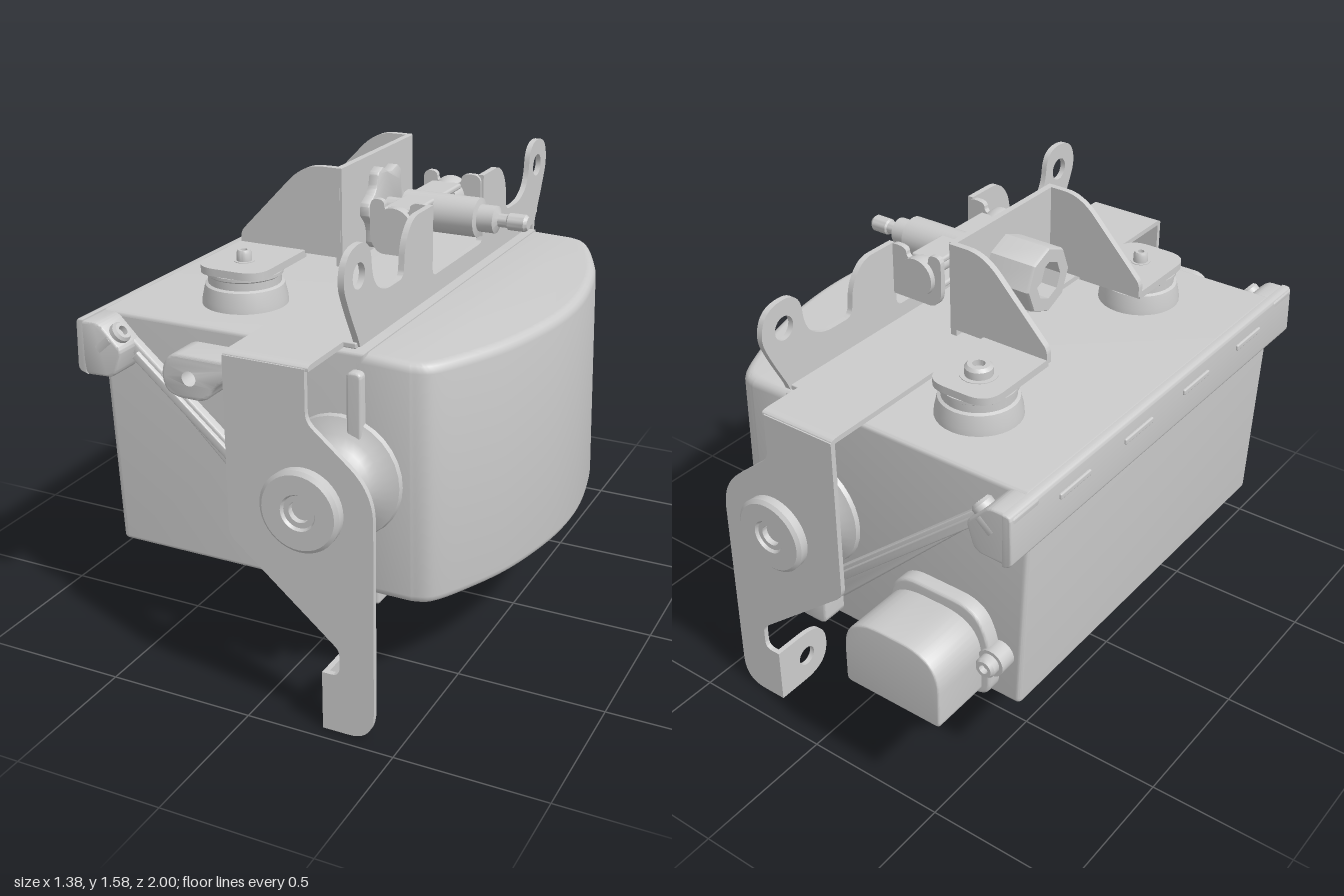
import * as THREE from 'three';
import { toCreasedNormals } from 'three/addons/utils/BufferGeometryUtils.js';
import { RoundedBoxGeometry } from 'three/addons/geometries/RoundedBoxGeometry.js';

const grey = new THREE.MeshStandardMaterial({ color: 0xcccccc, side: THREE.DoubleSide });
const MID = -0.015; // middle of the housing along z

// Closed outline from [u, v, cornerRadius] points, with round holes [u, v, r]
function outline(pts, holes = []) {
  const s = new THREE.Shape(), n = pts.length;
  pts.forEach(([x, y, r = 0], i) => {
    const p = new THREE.Vector2(x, y);
    const toward = (q) => {
      const d = new THREE.Vector2(q[0] - x, q[1] - y);
      return p.clone().addScaledVector(d.clone().normalize(), Math.min(r, d.length() * 0.499));
    };
    const a = toward(pts[(i + n - 1) % n]), b = toward(pts[(i + 1) % n]);
    if (i === 0) s.moveTo(a.x, a.y); else s.lineTo(a.x, a.y);
    if (r) s.quadraticCurveTo(x, y, b.x, b.y);
  });
  s.closePath();
  for (const [x, y, r] of holes) s.holes.push(new THREE.Path().absarc(x, y, r, 0, Math.PI * 2, true));
  return s;
}

// Extrude an outline between two coordinates on the chosen axis
function slab(shape, axis, from, to, bevel = 0) {
  const g = new THREE.ExtrudeGeometry(shape, {
    depth: to - from - 2 * bevel, curveSegments: 10, bevelEnabled: bevel > 0,
    bevelThickness: bevel, bevelSize: bevel, bevelOffset: -bevel, bevelSegments: 4,
  });
  g.translate(0, 0, bevel);
  if (axis === 'z') g.translate(0, 0, from);
  if (axis === 'x') g.rotateY(-Math.PI / 2).translate(to, 0, 0); // outline is (z, y)
  if (axis === 'y') g.rotateX(Math.PI / 2).translate(0, to, 0); // outline is (x, z)
  return toCreasedNormals(g, 0.6);
}

// Turned part: [radius, distance] profile revolved around a direction
function turned(profile, pos, dir, sides = 32) {
  const g = new THREE.LatheGeometry(profile.map(([r, h]) => new THREE.Vector2(r, h)), sides);
  const q = new THREE.Quaternion().setFromUnitVectors(new THREE.Vector3(0, 1, 0), new THREE.Vector3(...dir).normalize());
  return toCreasedNormals(g.toNonIndexed().applyQuaternion(q).translate(...pos), 0.6);
}

function box(x0, x1, y0, y1, z0, z1, r = 0.01) {
  return new RoundedBoxGeometry(x1 - x0, y1 - y0, z1 - z0, 3, r)
    .translate((x0 + x1) / 2, (y0 + y1) / 2, (z0 + z1) / 2);
}

export function createModel() {
  const model = new THREE.Group();
  const add = (name, geometry, parent = model) => {
    const m = new THREE.Mesh(geometry, grey);
    m.name = name;
    parent.add(m);
    return m;
  };
  const screw = (name, pos, dir, r = 0.035) => add(name, turned(
    [[0, -0.06], [r * 1.35, -0.06], [r * 1.35, 0], [r, 0], [r, 0.025], [r * 0.8, 0.035], [r * 0.45, 0.035], [r * 0.45, 0.015], [0, 0.015]], pos, dir, 18));

  // Housing with slightly tapered rear
  add('housing', slab(outline([[-0.64, 0.34, 0.02], [0.27, 0.34], [0.27, 1.155], [-0.67, 1.155, 0.02], [-0.665, 0.97]]), 'z', -0.74, 0.71, 0.015));
  add('rearLip', slab(outline([[-0.69, 0.98, 0.02], [-0.655, 0.97], [-0.655, 1.155], [-0.685, 1.155, 0.02]]), 'z', -0.86, 0.82, 0.006));
  for (let i = 0; i < 4; i++) add('rearLipRib', box(-0.694, -0.68, 1.08, 1.1, -0.62 + i * 0.35, -0.46 + i * 0.35, 0.005));

  // Bowed front cover, leaning back a little toward the top
  const bow = new THREE.Shape();
  bow.moveTo(0.24, -0.74);
  bow.lineTo(0.42, -0.74);
  bow.splineThru([[0.485, -0.71], [0.55, -0.6], [0.625, -0.42], [0.675, -0.2], [0.69, MID],
    [0.675, 0.17], [0.625, 0.39], [0.55, 0.57], [0.485, 0.68], [0.42, 0.71]].map((p) => new THREE.Vector2(...p)));
  bow.lineTo(0.24, 0.71);
  const cover = slab(bow, 'y', 0.35, 1.152, 0.03);
  const cp = cover.attributes.position;
  for (let i = 0; i < cp.count; i++) {
    const k = (cp.getX(i) - 0.24) / 0.45;
    if (cp.getY(i) > 0.97) cp.setX(i, cp.getX(i) - k * 0.14 * (cp.getY(i) - 0.97));
    if (cp.getY(i) > 1) cp.setY(i, cp.getY(i) - k * 0.015);
  }
  add('frontCover', cover);
  add('seamRib', box(0.25, 0.3, 0.3, 0.37, -0.71, 0.68, 0.012));
  add('bottomCap', turned([[0, 0], [0.1, 0], [0.1, 0.012], [0.125, 0.012], [0.125, 0], [0.145, 0], [0.155, 0.01], [0.155, 0.08]].map(([r, h]) => [r, h]), [-0.285, 0.27, MID], [0, 1, 0], 40));

  // Flange, lugs, screws and pivot on both sides
  for (const s of [1, -1]) {
    const wall = s > 0 ? 0.71 : -0.74;
    const out = (d) => wall + s * d;
    const side = (name, shape, d, bevel = 0.008) => {
      const [a, b] = [out(-0.02), out(d)].sort((p, q) => p - q);
      return add(name, slab(shape, 'z', a, b, bevel));
    };
    side('diagonalFlange', outline([[-0.58, 1.08], [-0.53, 1.08], [0.12, 0.52], [0.12, 0.43], [0.05, 0.455]]), 0.03);
    side('diagonalRib', outline([[-0.53, 1.025], [-0.51, 1.045], [0.1, 0.52], [0.08, 0.5]]), 0.045, 0.004);
    side('cornerLug', outline([[-0.69, 1.15, 0.02], [-0.6, 1.15, 0.02], [-0.52, 1.07, 0.02], [-0.55, 0.975, 0.03], [-0.66, 0.97, 0.02]]), 0.11);
    side('lowerLug', outline([[0.08, 0.36, 0.03], [0.2, 0.36, 0.04], [0.23, 0.5, 0.02], [0.13, 0.56, 0.02], [0.08, 0.5, 0.02]]), 0.09);
    side('verticalFlange', outline([[0.22, 0.36, 0.02], [0.27, 0.36, 0.02], [0.27, 1.1, 0.02], [0.22, 1.1, 0.02]]), 0.03);
    screw('cornerScrew', [-0.565, 1.1, out(0.065)], [0.75, 0.65, 0]);
    screw('lowerScrew', [0.21, 0.485, out(0.06)], [0.75, 0.65, 0]);
    const reach = s > 0 ? 0.245 : 0.165;
    add('pivotBoss', turned([[0.21, -0.02], [0.2, 0.015], [0.15, 0.035], [0.125, 0.06], [0.11, 0.09], [0.105, reach], [0, reach]], [0.19, 0.745, wall], [0, 0, s]));
    add('pivotWasher', turned([[0.13, 0], [0.132, 0.03], [0.12, 0.04], [0.058, 0.04], [0.052, 0.03], [0.035, 0.03], [0.035, 0.01], [0, 0.01]], [0.19, 0.745, s > 0 ? 0.955 : -0.905], [0, 0, s], 40));
  }
  add('sideBoss', slab(outline([[-0.375, 1.03, 0.07], [-0.34, 1.1, 0.04], [-0.11, 1.1, 0.03], [-0.11, 1.05, 0.04], [-0.18, 1.01, 0.03], [-0.21, 0.955, 0.04], [-0.35, 0.955, 0.06]], [[-0.27, 1.025, 0.035]]), 'z', 0.69, 0.83, 0.01));
  add('sideRib', slab(outline([[-0.19, 0.88], [-0.18, 0.905], [0.0, 0.83], [0.0, 0.8]]), 'z', 0.7, 0.735, 0.005));

  // Rear connector
  add('connectorPlate', slab(outline([[-0.56, 0.36, 0.06], [-0.12, 0.36, 0.06], [-0.12, 0.45, 0.06], [-0.2, 0.69, 0.08], [-0.5, 0.69, 0.08], [-0.56, 0.58, 0.06]]), 'z', -0.79, -0.73, 0.01));
  add('connector', slab(outline([[-0.53, 0.38, 0.02], [-0.16, 0.38, 0.02], [-0.16, 0.65, 0.15], [-0.53, 0.65, 0.15]]), 'z', -1, -0.77, 0.008));
  screw('connectorScrew', [-0.57, 0.52, -0.8], [0, 0, -1]);

  // Sheet metal bracket: top plate, two arms and feet
  const bracket = new THREE.Group();
  bracket.name = 'bracket';
  model.add(bracket);
  const T = 0.018;
  add('topPlate', slab(outline([[-0.9, 1.19, 0.04], [-0.9, 1.172], [0.95, 1.172], [0.95, 1.19, 0.04]]), 'x', -0.07, 0.21), bracket);
  add('topPlateEdge', box(0.2, 0.25, 1.172, 1.19, -0.74, 0.73, 0.004), bracket);
  const arm = outline([[-0.07, 1.18], [0.2, 1.18], [0.2, 1.02, 0.03], [0.415, 0.84, 0.1], [0.415, 0, 0.1], [0.24, 0],
    [0.24, 0.2], [0.3, 0.2, 0.03], [0.3, 0.29, 0.02], [-0.07, 0.6, 0.03]]);
  for (const s of [1, -1]) {
    const z = s > 0 ? 0.955 : -0.905;
    add('arm', slab(arm, 'z', Math.min(z, z - s * T), Math.max(z, z - s * T)), bracket);
    const foot = outline([[z, 0], [z, 0.2], [z - s * 0.23, 0.2, 0.12], [z - s * 0.23, 0, 0.12]], [[z - s * 0.13, 0.1, 0.036]]);
    add('foot', slab(foot, 'x', 0.24, 0.24 + T), bracket);
  }

  // Upright flange with two eared tabs and a central gap
  const half = [[0.73, 1.175], [0.74, 1.2, 0.02], [0.8, 1.31, 0.05], [0.84, 1.4, 0.07], [0.8, 1.49, 0.07], [0.66, 1.49, 0.07],
    [0.645, 1.35, 0.06], [0.57, 1.3, 0.05], [0.43, 1.3, 0.03], [0.42, 1.41, 0.05], [0.36, 1.475, 0.04], [0.21, 1.475], [0.21, 1.24, 0.03]];
  const mirrored = half.map(([z, y, r]) => [-z, y, r]).reverse();
  add('earedFlange', slab(outline([...half, ...mirrored], [[0.735, 1.395, 0.04], [-0.735, 1.395, 0.04]]), 'x', 0.237, 0.257).translate(0, 0, MID), bracket);

  // Clevis cheeks, cross pin and adjuster spindle
  const cheek = outline([[0.04, 1.33, 0.03], [0.07, 1.295, 0.02], [0.25, 1.295], [0.25, 1.475, 0.03], [0.18, 1.475, 0.04],
    [0.18, 1.44, 0.02], [0.09, 1.44, 0.02], [0.09, 1.475, 0.03], [0.04, 1.475, 0.03]]);
  for (const s of [1, -1]) {
    add('clevisCheek', slab(cheek, 'z', MID + s * 0.21 - 0.01, MID + s * 0.21 + 0.01), bracket);
    add('pinHead', turned([[0, -0.05], [0.05, -0.05], [0.066, 0], [0.066, 0.03], [0, 0.03]], [0.13, 1.39, MID + s * 0.21], [0, 0, s], 24));
  }
  add('crossPin', turned([[0.028, -0.2], [0.028, 0.2]], [0.13, 1.39, MID], [0, 0, 1], 16));
  for (const y of [1.345, 1.435]) add('pinBar', box(0.075, 0.185, y - 0.01, y + 0.01, MID - 0.19, MID + 0.19, 0.008));
  add('spindle', turned([[0, -0.03], [0.032, -0.03], [0.032, 0.06], [0.065, 0.07], [0.065, 0.33], [0.045, 0.335], [0.045, 0.39],
    [0.022, 0.4], [0.022, 0.43], [0.028, 0.435], [0.028, 0.49], [0.02, 0.5], [0, 0.5]], [0, 1.39, MID], [1, 0, 0], 24));

  // Hat bracket carrying the adjuster
  const hat = new THREE.Group();
  hat.name = 'hatBracket';
  model.add(hat);
  const web = outline([[-0.41, 1.275], [-0.41, 1.325, 0.02], [-0.17, 1.575, 0.08], [-0.04, 1.575], [-0.04, 1.28], [-0.17, 1.28]]);
  add('hatFront', slab(outline([[-0.28, 1.25], [-0.28, 1.575], [0.26, 1.575], [0.26, 1.25]], [[MID, 1.39, 0.05]]), 'x', -0.055, -0.033), hat);
  for (const s of [1, -1]) {
    const z = MID + s * 0.265, zc = MID + s * 0.46;
    add('hatWeb', slab(web, 'z', z - 0.011, z + 0.011), hat);
    add('hatFoot', slab(outline([[-0.41, z], [-0.17, z], [-0.17, MID + s * 0.58, 0.08], [-0.41, MID + s * 0.58, 0.08]]), 'y', 1.265, 1.29), hat);
    add('rubberMount', turned([[0.14, 0], [0.138, 0.025], [0.128, 0.07], [0.118, 0.075], [0.118, 0.1], [0.125, 0.105], [0.125, 0.115], [0, 0.115]], [-0.29, 1.15, zc], [0, 1, 0]));
    screw('mountScrew', [-0.29, 1.292, zc], [0, 1, 0], s > 0 ? 0.025 : 0.045);
  }

  // Adjuster knob: lobed disc in front, hollow socket behind the plate
  const lobes = [];
  for (let i = 0; i < 24; i++) {
    const a = (i / 24) * Math.PI * 2, r = i % 4 < 2 ? 0.148 : 0.12;
    lobes.push([MID + r * Math.cos(a), 1.39 + r * Math.sin(a), 0.01]);
  }
  add('adjusterDisc', slab(outline(lobes), 'x', -0.04, 0, 0.005));
  add('adjusterSocket', turned([[0, 0.06], [0.065, 0.06], [0.065, 0], [0.11, 0], [0.115, 0.01], [0.115, 0.18]], [-0.225, 1.39, MID], [1, 0, 0], 8));
  return model;
}
